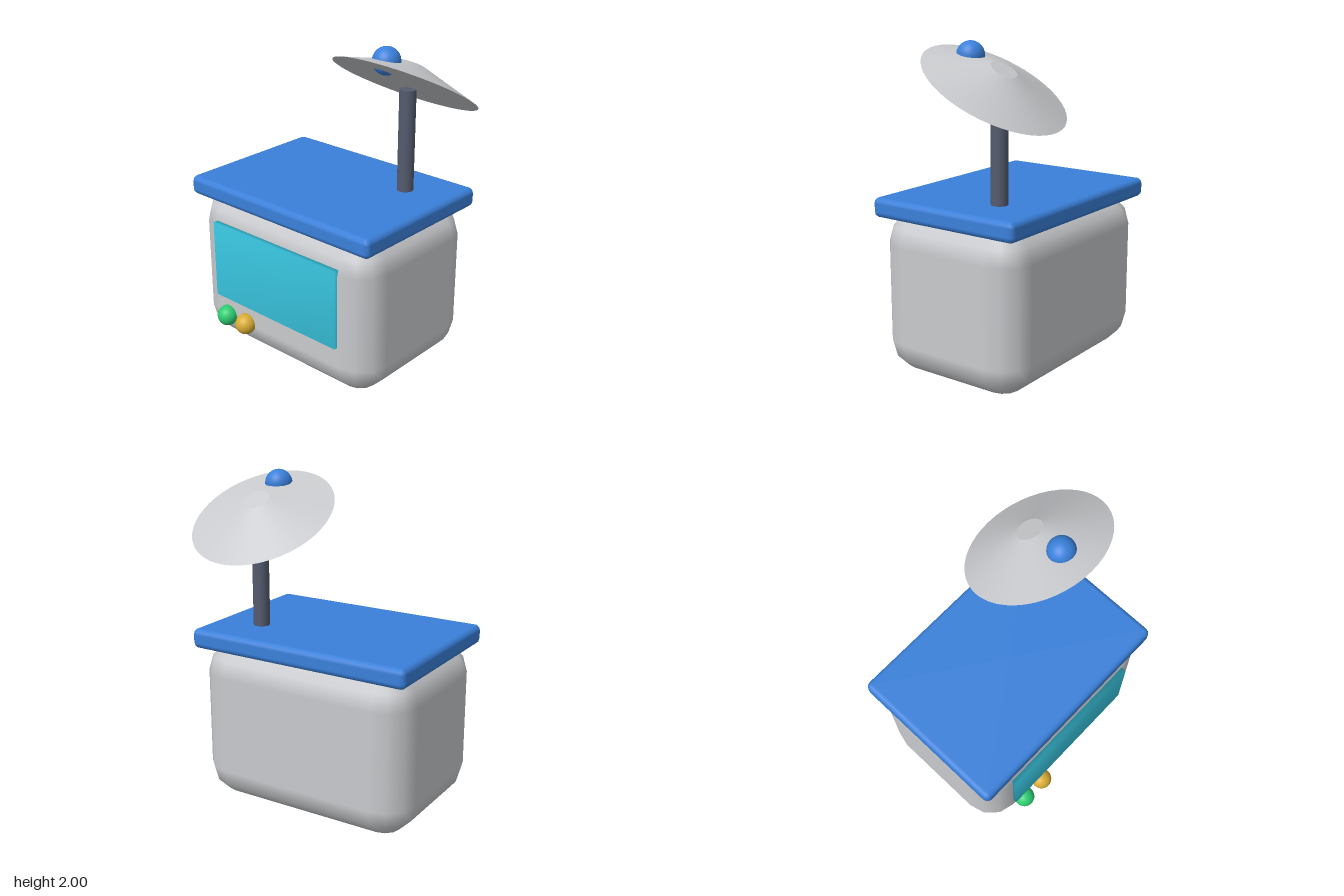
import * as THREE from 'three';
import { mergeVertices } from 'three/addons/utils/BufferGeometryUtils.js';

const material = (name, color) => {
  const m = new THREE.MeshStandardMaterial({ color });
  m.name = name;
  return m;
};

// Box with smooth round edges: a sphere grid whose octants are pushed apart.
function roundedBox(w, h, d, r, seg = 3) {
  const cols = 4 * (seg + 1), rows = 2 * seg + 3;
  const geo = new THREE.SphereGeometry(1, cols, rows);
  const pos = geo.attributes.position, nor = geo.attributes.normal;
  const bx = w / 2 - r, by = h / 2 - r, bz = d / 2 - r;
  const step = Math.PI / 2 / seg;
  for (let iy = 0, i = 0; iy <= rows; iy++) {
    const pole = iy === 0 || iy === rows;
    const upper = iy <= seg + 1;
    const theta = iy === 0 ? 0 : iy === rows ? Math.PI : (upper ? iy - 1 : iy - 2) * step;
    for (let ix = 0; ix <= cols; ix++, i++) {
      const c = ix % cols, q = Math.floor(c / (seg + 1));
      const phi = (q * seg + (c % (seg + 1))) * step;
      const nx = -Math.cos(phi) * Math.sin(theta);
      const ny = Math.cos(theta);
      const nz = Math.sin(phi) * Math.sin(theta);
      const sx = pole ? 0 : q === 0 || q === 3 ? -1 : 1;
      const sz = pole ? 0 : q < 2 ? 1 : -1;
      pos.setXYZ(i, sx * bx + nx * r, (upper ? 1 : -1) * by + ny * r, sz * bz + nz * r);
      nor.setXYZ(i, nx, ny, nz);
    }
  }
  return geo;
}

// Plain box with normals averaged over its corners, for a bulging glass look.
function softBox(w, h, d) {
  const box = new THREE.BoxGeometry(w, h, d);
  box.deleteAttribute('normal');
  box.deleteAttribute('uv');
  const geo = mergeVertices(box);
  geo.computeVertexNormals();
  return geo;
}

export function createModel() {
  const model = new THREE.Group();
  model.name = 'dishTerminal';

  const grey = material('light grey', 0xc8cacd);
  const blue = material('blue', 0x3a80da);
  const cyan = material('screen cyan', 0x38c4de);
  const green = material('button green', 0x2ecc71);
  const yellow = material('button yellow', 0xd9ac34);
  const slate = material('slate', 0x545b6e);

  const add = (name, geo, mat, x, y, z, parent = model) => {
    const mesh = new THREE.Mesh(geo, mat);
    mesh.name = name;
    mesh.position.set(x, y, z);
    parent.add(mesh);
    return mesh;
  };

  // Cabinet and lid
  add('body', roundedBox(1.41, 1.0, 1.0, 0.2), grey, -0.07, 0.503, -0.012);
  add('lid', roundedBox(1.434, 0.12, 1.015, 0.035), blue, -0.072, 1.025, -0.015);

  // Front panel
  add('screen', softBox(1.0, 0.5, 0.05), cyan, -0.073, 0.587, 0.487);
  const knob = new THREE.SphereGeometry(0.066, 32, 20);
  add('greenButton', knob, green, -0.488, 0.212, 0.507);
  add('yellowButton', knob, yellow, -0.323, 0.212, 0.507);

  // Mast with tilted dish and its receiver ball
  add('mast', new THREE.CylinderGeometry(0.05, 0.05, 0.67, 32), slate, 0.345, 1.375, -0.217);
  const dish = add('dish', new THREE.CylinderGeometry(0.08, 0.441, 0.123, 48), grey, 0.345, 1.798, -0.218);
  dish.rotation.x = -Math.PI / 6;
  add('receiver', new THREE.SphereGeometry(0.082, 32, 20), blue, 0.344, 1.918, -0.016);

  return model;
}
